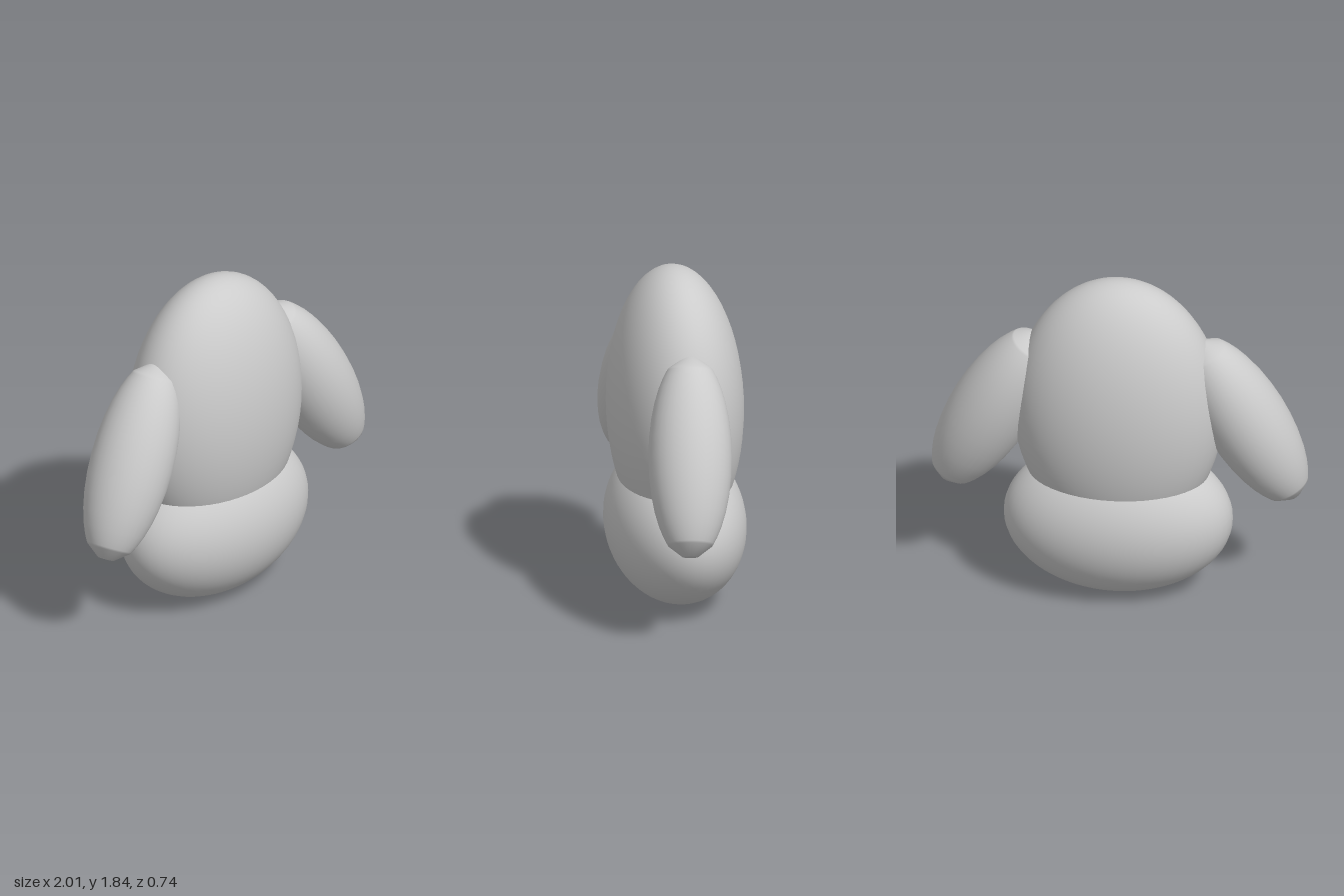
import * as THREE from 'three';

const material = new THREE.MeshStandardMaterial({ color: 0xcccccc });

// Smooth ellipsoid with its centre on the vertical axis
function ellipsoid(name, y, rx, ry, rz) {
  const geometry = new THREE.SphereGeometry(1, 48, 32).scale(rx, ry, rz);
  const mesh = new THREE.Mesh(geometry, material);
  mesh.name = name;
  mesh.position.y = y;
  return mesh;
}

// Spindle with blunt ends, standing along y and centred on the origin
function spindle(length, radius) {
  const half = length / 2, rim = half - 0.058, tip = 0.043;
  const profile = [new THREE.Vector2(0, -half), new THREE.Vector2(tip, -half)];
  const steps = 14;
  for (let i = 0; i <= steps; i++) {
    const y = -rim * Math.cos((Math.PI * i) / steps);
    profile.push(new THREE.Vector2(radius * Math.sqrt(1 - (y / 0.56) ** 2), y));
  }
  profile.push(new THREE.Vector2(tip, half), new THREE.Vector2(0, half));
  return new THREE.LatheGeometry(profile, 32);
}

// Arm running from the shoulder down, outwards and slightly forwards
function arm(name, side) {
  const shoulder = new THREE.Vector3(side * 0.427, 1.483, 0);
  const hand = new THREE.Vector3(side * 0.925, 0.545, 0.093);
  const axis = shoulder.clone().sub(hand);
  const mesh = new THREE.Mesh(spindle(axis.length(), 0.222), material);
  mesh.name = name;
  mesh.position.copy(shoulder).add(hand).multiplyScalar(0.5);
  mesh.quaternion.setFromUnitVectors(new THREE.Vector3(0, 1, 0), axis.normalize());
  return mesh;
}

export function createModel() {
  const model = new THREE.Group();
  model.name = 'figure';
  model.add(
    ellipsoid('hips', 0.425, 0.61, 0.425, 0.37),
    ellipsoid('torso', 1.08, 0.56, 0.762, 0.358),
    arm('leftArm', 1),
    arm('rightArm', -1)
  );
  return model;
}
